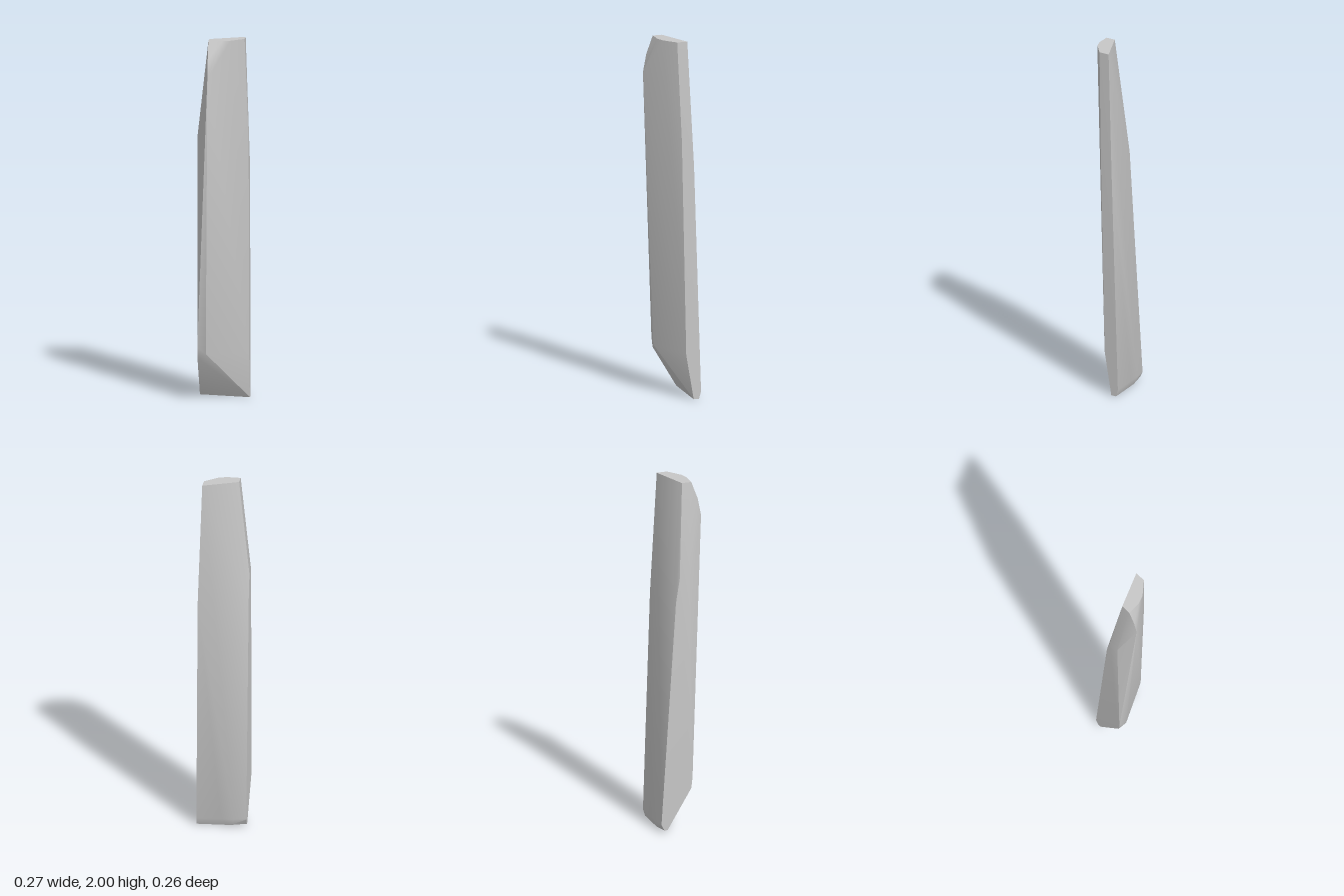
import * as THREE from 'three';
import { ConvexGeometry } from 'three/addons/geometries/ConvexGeometry.js';
import { toCreasedNormals } from 'three/addons/utils/BufferGeometryUtils.js';

export function createModel() {
  const group = new THREE.Group();
  group.name = 'stoneShard';

  const stone = new THREE.MeshStandardMaterial({ color: 0xc6c6c6 });
  stone.name = 'light grey stone';

  // Corners of the faceted shard, by edge
  const corners = [
    // flat top face
    [-0.075, 2, 0.022], [0.115, 2, -0.058], [0.115, 2, 0], [0.045, 2, 0.058], [0, 2, 0.074], [-0.075, 2, 0.075],
    // rounded chip at the upper front corner
    [-0.075, 1.9, 0.112], [-0.035, 1.9, 0.1], [-0.075, 1.8, 0.131],
    // right side
    [-0.137, 1.47, -0.012], [-0.137, 1.47, 0.045], [-0.137, 1.33, -0.034],
    [-0.137, 0.3, 0.061], [-0.137, 0.24, 0.054],
    // left side
    [0.135, 1.45, -0.02], [0.135, 1.3, -0.09], [0.135, 0.25, -0.045],
    // front ridge above the slanted foot
    [-0.09, 0.265, 0.066],
    // back edge of the foot
    [-0.137, 0.045, -0.117], [-0.07, 0.045, -0.127], [0, 0.045, -0.13], [0.135, 0.04, -0.13],
    // bottom edge
    [-0.137, 0.012, -0.082], [-0.137, 0.012, -0.1], [-0.05, 0.005, -0.115],
    [0.135, 0, -0.088], [0.135, 0, -0.118],
  ];

  // Shallow angles blend smoothly, the main edges stay sharp
  const hull = new ConvexGeometry(corners.map((p) => new THREE.Vector3(...p)));
  const shard = new THREE.Mesh(toCreasedNormals(hull, 0.5), stone);
  shard.name = 'shard';
  group.add(shard);
  return group;
}
